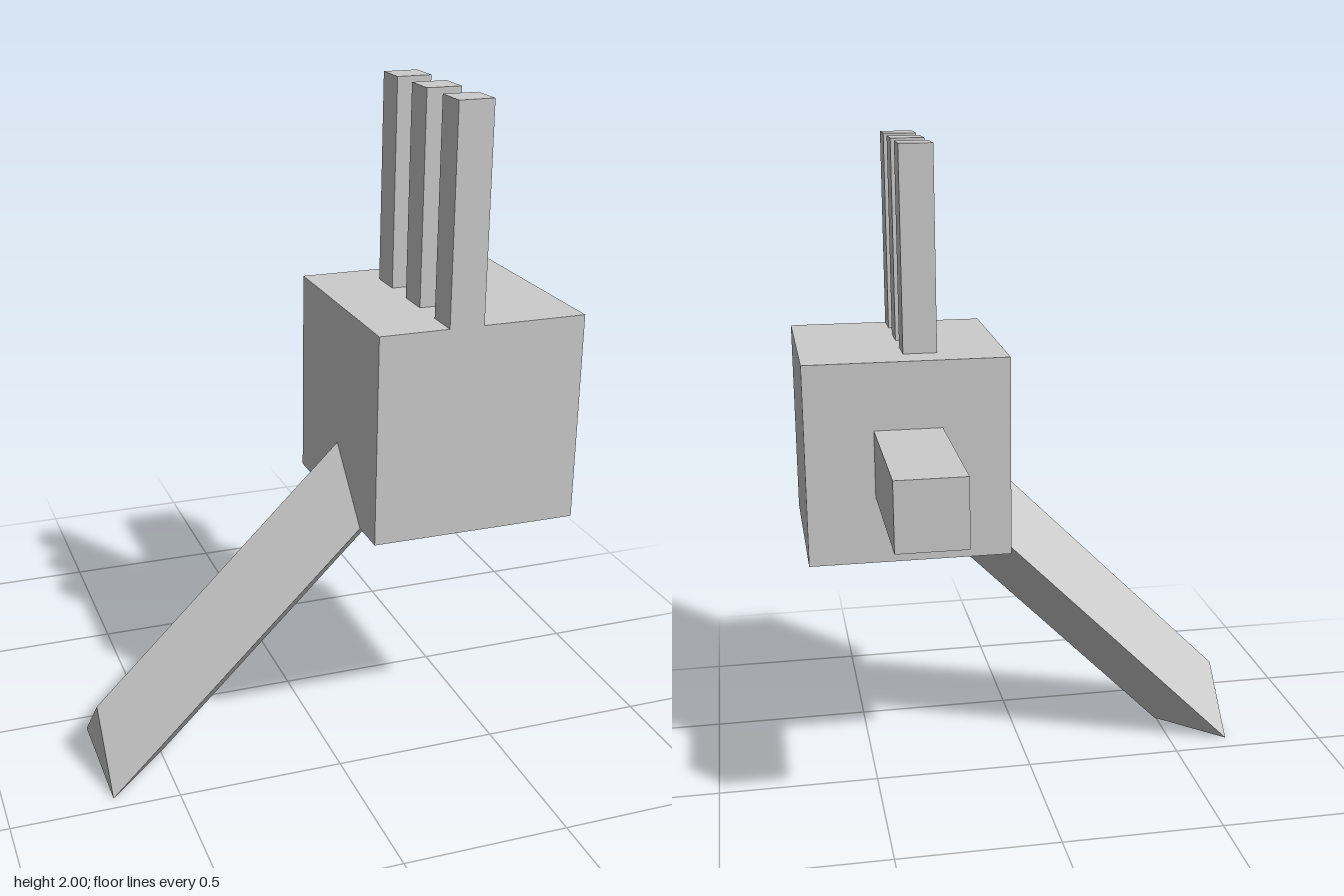
import * as THREE from 'three';

const U = 0.1036;                 // grid unit all blocks are sized in
const TOP = 2, FRONT = 11 * U / 2, SIDE = 0.69;
const BODY = 6 * U;
const bodyLeftX = SIDE - BODY;    // low-x face of the body
const bodyY = TOP - 2 * BODY;     // underside of the body

const material = new THREE.MeshStandardMaterial({ color: 0xcccccc, flatShading: true });

// Box given by its minimum corner and its size
function block(name, [x, y, z], [w, h, d]) {
  const geometry = new THREE.BoxGeometry(w, h, d).translate(x + w / 2, y + h / 2, z + d / 2);
  const mesh = new THREE.Mesh(geometry, material);
  mesh.name = name;
  return mesh;
}

// Diamond-section beam rising at 45 degrees, its wedge tip cut by a
// vertical and a level plane, its upper end fitted to the body's lower edge
function diagonalBeam() {
  const h = 0.195, z = FRONT - BODY / 2;
  const section = [[0, 0, h], [0, h, 0], [0, 0, -h], [h, 0, 0]];
  const ends = [[-SIDE, 0, z], [bodyLeftX, bodyY, z]];
  const points = ends.flatMap(e => section.map(p => p.map((v, i) => v + e[i])));
  const index = [0, 1, 2, 0, 2, 3];               // two tip faces
  for (let i = 0; i < 4; i++) {                   // four long faces
    const j = (i + 1) % 4;
    index.push(i, i + 4, j + 4, i, j + 4, j);
  }
  let geometry = new THREE.BufferGeometry();
  geometry.setAttribute('position', new THREE.Float32BufferAttribute(points.flat(), 3));
  geometry.setIndex(index);
  geometry = geometry.toNonIndexed();
  geometry.computeVertexNormals();
  const mesh = new THREE.Mesh(geometry, material);
  mesh.name = 'diagonalBeam';
  return mesh;
}

export function createModel() {
  const model = new THREE.Group();
  model.name = 'blockHand';

  // Cube body
  model.add(block('body', [bodyLeftX, bodyY, FRONT - BODY], [BODY, BODY, BODY]));

  // Peg out of the back face
  model.add(block('backPeg', [bodyLeftX + 2 * U, bodyY + 2 * U, -FRONT], [2 * U, 2 * U, 5 * U]));

  // Row of three upright posts
  const posts = new THREE.Group();
  posts.name = 'posts';
  for (let i = 0; i < 3; i++) {
    posts.add(block('post', [bodyLeftX + 2 * U, TOP - BODY, FRONT - (2 * i + 1) * U], [U, BODY, U]));
  }
  model.add(posts);

  model.add(diagonalBeam());
  return model;
}
